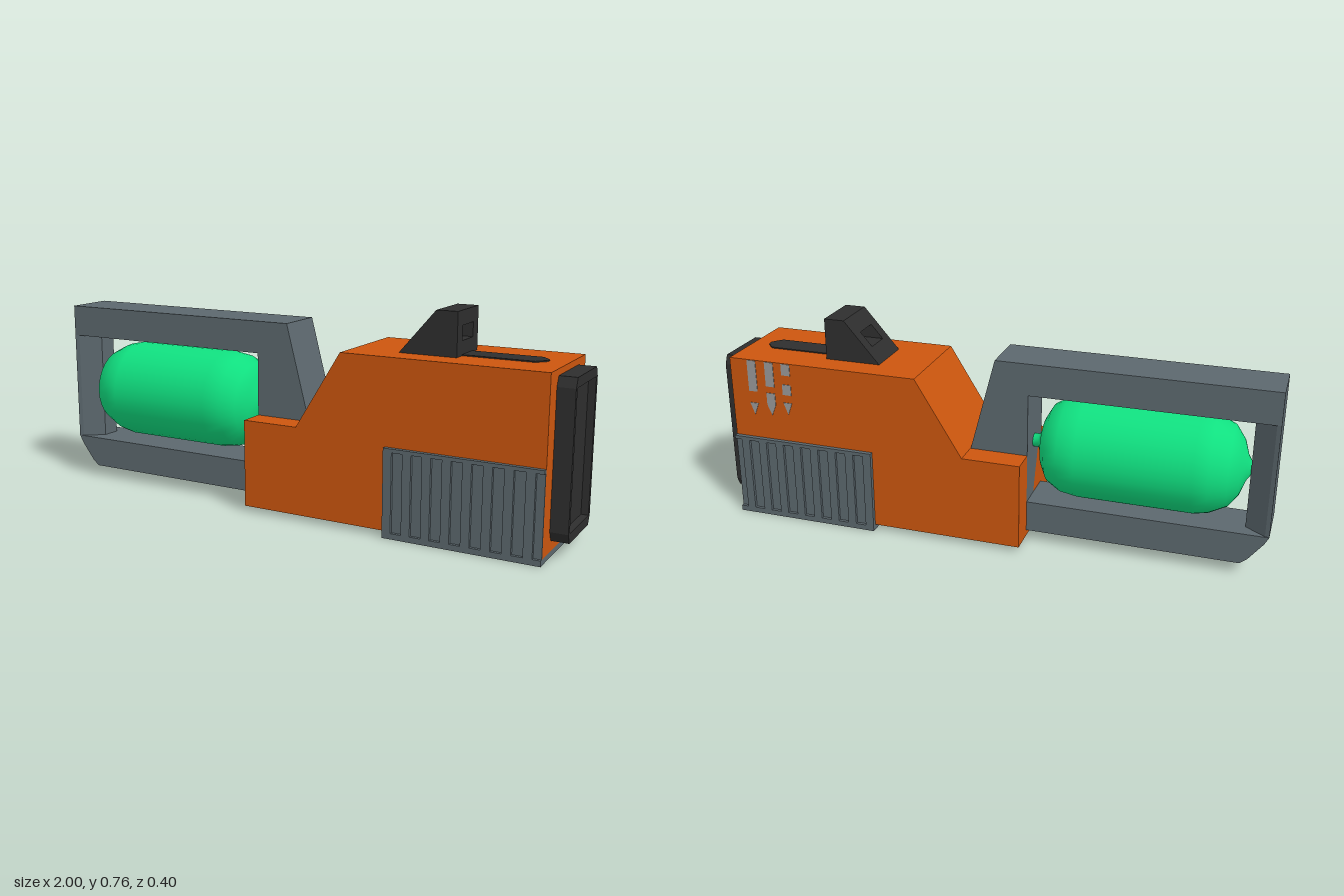
import * as THREE from 'three';

const mat = (color) => new THREE.MeshStandardMaterial({ color });
const ORANGE = mat(0xcc560e), GREY = mat(0x5c686e), DARK = mat(0x2e2e2e), GREEN = mat(0x10e080), PALE = mat(0x999999);

const shapeOf = (pts) => new THREE.Shape(pts.map(([x, y]) => new THREE.Vector2(x, y)));
const extrude = (shape, depth) => new THREE.ExtrudeGeometry(shape, { depth, bevelEnabled: false });
// side profile (x, y) extruded evenly about z = 0
const slab = (pts, half) => extrude(shapeOf(pts), half * 2).translate(0, 0, -half);
// end profile (z, y) extruded from x0 to x1, with an optional window
function endSlab(pts, x0, x1, hole) {
  const s = shapeOf(pts);
  if (hole) s.holes.push(shapeOf(hole));
  return extrude(s, x1 - x0).rotateY(Math.PI / 2).translate(x0, 0, 0);
}
const rect = (h, y0, y1) => [[-h, y0], [h, y0], [h, y1], [-h, y1]];
const boxBetween = (x0, x1, y0, y1, z0, z1) =>
  new THREE.BoxGeometry(x1 - x0, y1 - y0, z1 - z0).translate((x0 + x1) / 2, (y0 + y1) / 2, (z0 + z1) / 2);

export function createModel() {
  const root = new THREE.Group();
  root.name = 'device';
  const add = (name, geo, material, parent = root) => {
    const m = new THREE.Mesh(geo, material);
    m.name = name;
    parent.add(m);
    return m;
  };
  const group = (name) => {
    const g = new THREE.Group();
    g.name = name;
    root.add(g);
    return g;
  };

  // Main housing with sloped step
  add('body', slab([[-0.155, 0.02], [0.94, 0.02], [0.94, 0.61], [0.225, 0.61], [0.055, 0.335], [-0.155, 0.335]], 0.184), ORANGE);

  // Guard around the canister: top bar, sloped rear, bottom bar
  const guard = group('guardFrame');
  add('guardBars', slab([
    [-1, 0.56], [-0.155, 0.56], [-0.155, 0.155], [-1, 0.155], [-0.985, 0.127], [-0.935, 0.062], [-0.91, 0.042],
    [-0.1, 0.042], [-0.1, 0.3], [0.055, 0.33], [-0.035, 0.675], [-1, 0.675],
  ], 0.09), GREY, guard);
  // End post narrows towards the canister
  const post = shapeOf([[-1, -0.09], [-0.985, -0.085], [-0.915, -0.035], [-0.915, 0.035], [-0.985, 0.085], [-1, 0.09]]);
  add('guardPost', extrude(post, 0.405).rotateX(-Math.PI / 2).translate(0, 0.155, 0), GREY, guard);

  // Canister turned about the x axis
  const profile = [
    [0, -0.92], [0.022, -0.915], [0.045, -0.9], [0.095, -0.883], [0.14, -0.85], [0.17, -0.79], [0.18, -0.74],
    [0.18, -0.34], [0.17, -0.275], [0.14, -0.225], [0.095, -0.2], [0.05, -0.188], [0.024, -0.175], [0.024, -0.145],
  ].map(([r, x]) => new THREE.Vector2(r, x));
  add('canister', new THREE.LatheGeometry(profile, 32).rotateZ(-Math.PI / 2).translate(0, 0.36, 0), GREEN);

  // Ribbed grip: floor plate and a grooved panel on each side
  const grip = group('grip');
  add('gripFloor', boxBetween(0.395, 0.94, 0, 0.02, -0.2, 0.2), GREY, grip);
  for (const s of [-1, 1]) {
    const panel = (name, x0, x1, y0, y1, depth) =>
      add(name, boxBetween(x0, x1, y0, y1, s > 0 ? 0.18 : -depth, s > 0 ? depth : -0.18), GREY, grip);
    panel('gripBacking', 0.396, 0.94, 0.02, 0.297, 0.189);
    panel('gripRail', 0.395, 0.94, 0.297, 0.31, 0.2);
    for (let i = 0; i < 8; i++) {
      const x = 0.395 + i * 0.0695;
      panel('gripRib', x, x + 0.031, 0.02, 0.297, 0.2);
    }
  }

  // End cap: raised rim around a sunken panel
  const cap = group('endCap');
  const rim = [
    [-0.105, 0.057], [0.105, 0.057], [0.12, 0.09], [0.12, 0.555],
    [0.105, 0.588], [-0.105, 0.588], [-0.12, 0.555], [-0.12, 0.09],
  ];
  add('capRim', endSlab(rim, 0.935, 1, rect(0.105, 0.09, 0.555)), DARK, cap);
  add('capPanel', boxBetween(0.935, 0.975, 0.085, 0.56, -0.107, 0.107), DARK, cap);

  // Sight with a through window; its rear side is sheared into a ramp
  const sight = endSlab(rect(0.09, 0.61, 0.76), 0.395, 0.6, rect(0.047, 0.66, 0.71));
  const p = sight.attributes.position;
  for (let i = 0; i < p.count; i++) {
    if (p.getX(i) < 0.5) p.setX(i, 0.395 + (p.getY(i) - 0.61) * 0.867);
  }
  sight.computeVertexNormals();
  add('sight', sight, DARK);

  // Pointed strip on the roof
  const strip = shapeOf([[0.59, -0.045], [0.845, -0.045], [0.875, -0.01], [0.875, 0.01], [0.845, 0.045], [0.59, 0.045]]);
  add('topStrip', extrude(strip, 0.006).rotateX(-Math.PI / 2).translate(0, 0.608, 0), DARK);

  // Painted marks on the back side: [x centre, top, bottom, length of the pointed part]
  const marks = group('sideMarks');
  for (const [x, top, bottom, point] of [
    [0.854, 0.608, 0.49, 0], [0.854, 0.445, 0.4, 0.045],
    [0.784, 0.608, 0.515, 0], [0.784, 0.49, 0.405, 0.04],
    [0.718, 0.608, 0.565, 0], [0.718, 0.53, 0.49, 0], [0.718, 0.46, 0.415, 0.045],
  ]) {
    const w = 0.017, y = bottom + point;
    const pts = [[x - w, top], [x - w, y], [x, bottom], [x + w, y], [x + w, top]];
    const outline = point === top - bottom ? [pts[0], pts[2], pts[4]] : pts;
    add('mark', extrude(shapeOf(outline), 0.004).translate(0, 0, -0.186), PALE, marks);
  }
  return root;
}
